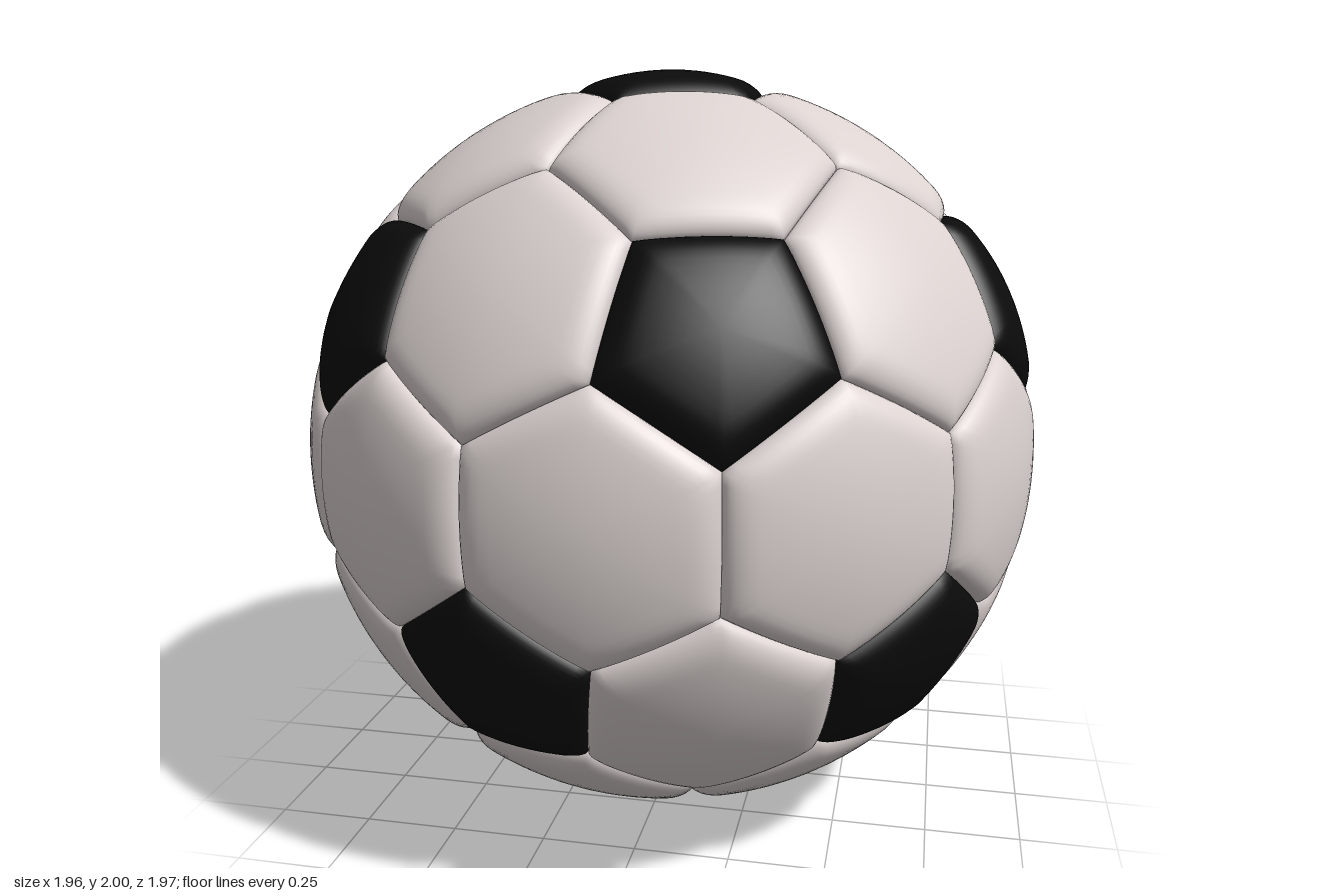
import * as THREE from 'three';

const PENT_RADIUS = THREE.MathUtils.degToRad(17.5); // angular size of a black panel
const SEAM = 0.945, SHOULDER = 0.983, ROUNDING = 0.075;
const RINGS = 14, SEGMENTS = 12;

const sum = (...vs) => vs.reduce((s, v) => s.add(v), new THREE.Vector3()).normalize();

// Point on the unit sphere at a given angle from a towards b
function towards(a, b, angle) {
  const side = b.clone().addScaledVector(a, -a.dot(b)).normalize();
  return a.clone().multiplyScalar(Math.cos(angle)).addScaledVector(side, Math.sin(angle));
}

// A puffed spherical polygon: spherical inside, rounding down steeply to the seam
function panelGeometry(center, corners, crown) {
  const u = corners[0].clone().addScaledVector(center, -corners[0].dot(center)).normalize();
  const v = center.clone().cross(u);
  const turn = (p) => Math.atan2(p.dot(v), p.dot(u));
  const loop = [...corners].sort((a, b) => turn(a) - turn(b));
  const n = loop.length, count = n * SEGMENTS;
  const edgeNormals = loop.map((p, i) => p.clone().cross(loop[(i + 1) % n]).normalize());

  // Soft minimum of the distances to all edges keeps the corners round
  const seamDistance = (p) => {
    let total = 0;
    for (const e of edgeNormals) total += Math.max(p.dot(e), 1e-5) ** -4;
    return total ** -0.25;
  };

  const positions = center.clone().multiplyScalar(crown).toArray();
  const index = [];
  for (let r = 1; r <= RINGS; r++) {
    const s = 1 - (1 - r / RINGS) ** 2;
    for (let k = 0; k < count; k++) {
      const i = Math.floor(k / SEGMENTS);
      const edge = loop[i].clone().lerp(loop[(i + 1) % n], (k % SEGMENTS) / SEGMENTS).normalize();
      const p = center.clone().lerp(edge, s).normalize();
      const t = Math.min(1, seamDistance(p) / ROUNDING);
      const top = SHOULDER + (crown - SHOULDER) * (1 - s * s);
      const radius = SEAM + (top - SEAM) * Math.sqrt(1 - (1 - t) ** 2);
      positions.push(...p.multiplyScalar(radius).toArray());

      const next = (k + 1) % count;
      const outer = 1 + (r - 1) * count, inner = outer - count;
      if (r === 1) index.push(0, outer + k, outer + next);
      else index.push(inner + k, outer + k, outer + next, inner + k, outer + next, inner + next);
    }
  }
  const geometry = new THREE.BufferGeometry();
  geometry.setAttribute('position', new THREE.Float32BufferAttribute(positions, 3));
  geometry.setIndex(index);
  geometry.computeVertexNormals();
  return geometry;
}

export function createModel() {
  const ball = new THREE.Group();
  ball.name = 'ball';
  const black = new THREE.MeshStandardMaterial({ color: 0x0b0b0b });
  const white = new THREE.MeshStandardMaterial({ color: 0xdcd3d1 });

  const panels = new THREE.Group();
  panels.name = 'panels';
  panels.position.y = 1;
  ball.add(panels);
  const addPanel = (name, material, center, corners, crown) => {
    const mesh = new THREE.Mesh(panelGeometry(center, corners, crown), material);
    mesh.name = name;
    panels.add(mesh);
  };

  // Centres of the twelve black panels: two poles and two staggered rings
  const poles = [new THREE.Vector3(0, 1, 0)];
  for (let i = 0; i < 5; i++) {
    const a = (i * Math.PI * 2) / 5;
    poles.push(new THREE.Vector3(2 * Math.cos(a), 1, 2 * Math.sin(a)).normalize());
  }
  poles.push(...poles.map((p) => p.clone().negate()));
  const adjacent = (a, b) => Math.abs(a.dot(b) - 1 / Math.sqrt(5)) < 0.01;
  const shared = (a, b) => poles.filter((c) => adjacent(a, c) && adjacent(b, c));

  poles.forEach((a, i) => {
    const around = poles.filter((b) => adjacent(a, b));

    // Black five-sided panel
    const corners = [];
    around.forEach((b, j) => around.slice(j + 1).forEach((c) => {
      if (adjacent(b, c)) corners.push(towards(a, sum(a, b, c), PENT_RADIUS));
    }));
    addPanel('blackPanel', black, a, corners, 1);

    // White six-sided panel between each pair of neighbouring black panels
    poles.slice(i + 1).filter((b) => adjacent(a, b)).forEach((b) => {
      const outline = shared(a, b).flatMap((c) => {
        const junction = sum(a, b, c);
        return [junction, towards(a, junction, PENT_RADIUS), towards(b, junction, PENT_RADIUS)];
      });
      addPanel('whitePanel', white, sum(a, b), outline, 0.987);
    });
  });

  return ball;
}
